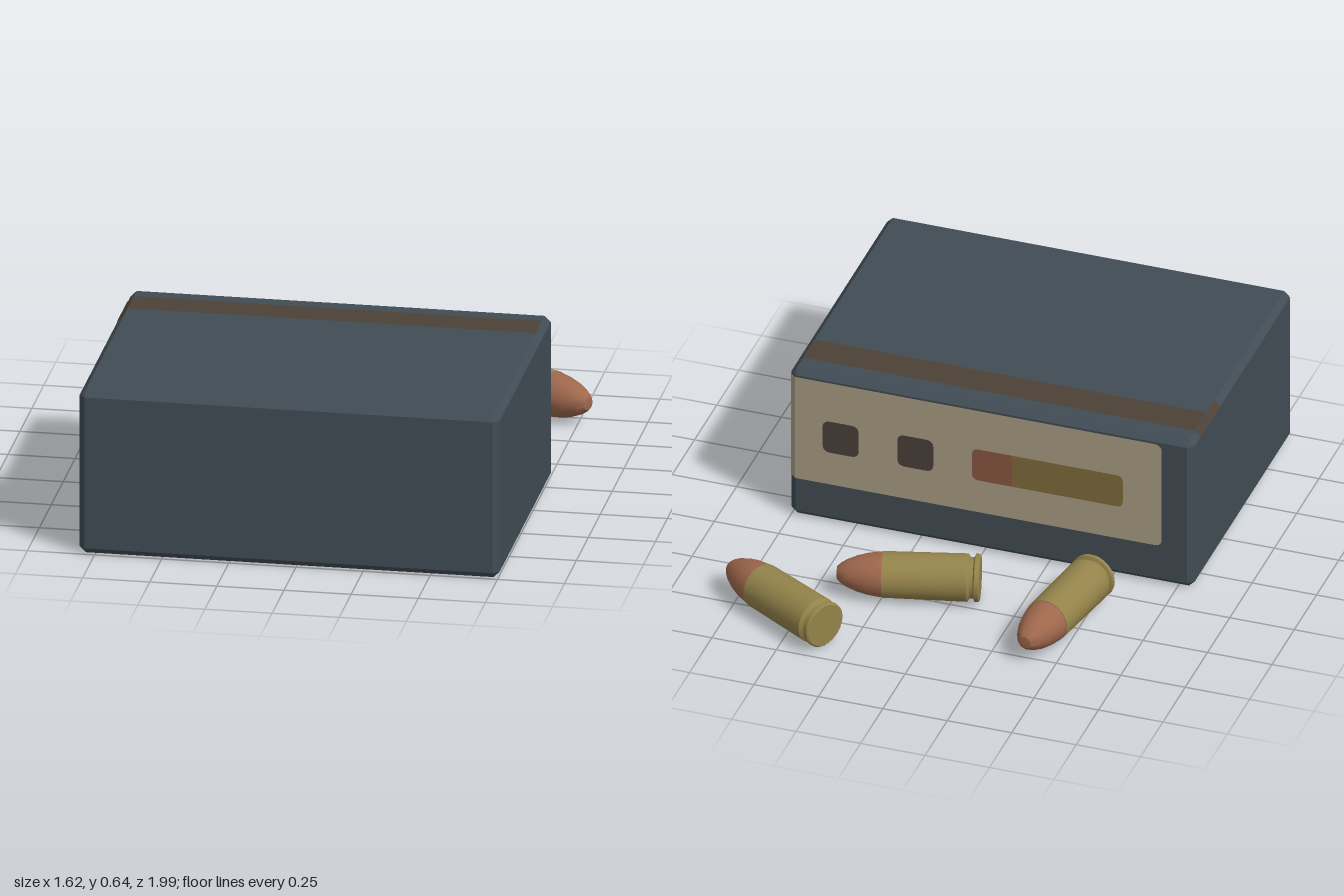
import * as THREE from 'three';
import { toCreasedNormals } from 'three/addons/utils/BufferGeometryUtils.js';
import { ConvexGeometry } from 'three/addons/geometries/ConvexGeometry.js';

const mat = (name, color) => new THREE.MeshStandardMaterial({ name, color });
const mats = {
  card: mat('slate card', 0x414c55),
  stripe: mat('brown stripe', 0x4c4136),
  label: mat('tan label', 0xa89e84),
  dark: mat('dark print', 0x4b4038),
  brassPrint: mat('olive print', 0x7f6c3a),
  copperPrint: mat('rust print', 0x8a5743),
  brass: mat('brass', 0x94834a),
  copper: mat('copper', 0x9e674c),
};

// Box extents and chamfer
const X0 = -0.81, X1 = 0.755, H = 0.635, Z0 = -0.115, Z1 = 1, C = 0.023;

function add(parent, name, geometry, material) {
  const mesh = new THREE.Mesh(geometry, material);
  mesh.name = name;
  parent.add(mesh);
  return mesh;
}

// Box with all edges bevelled: three corner points per corner
function chamferedBox() {
  const pts = [];
  for (const [x, sx] of [[X0, 1], [X1, -1]])
    for (const [y, sy] of [[0, 1], [H, -1]])
      for (const [z, sz] of [[Z0, 1], [Z1, -1]]) {
        pts.push(new THREE.Vector3(x, y + sy * C, z + sz * C));
        pts.push(new THREE.Vector3(x + sx * C, y, z + sz * C));
        pts.push(new THREE.Vector3(x + sx * C, y + sy * C, z));
      }
  return new ConvexGeometry(pts);
}

// Flat panel on the back face; xa is its +x end, rounded by ra there and rb at the other end
function backPanel(xa, xb, y0, y1, ra, rb, lift) {
  const a = -xa, b = -xb;
  const s = new THREE.Shape();
  s.moveTo(a + ra, y0);
  s.lineTo(b - rb, y0);
  if (rb) s.quadraticCurveTo(b, y0, b, y0 + rb);
  s.lineTo(b, y1 - rb);
  if (rb) s.quadraticCurveTo(b, y1, b - rb, y1);
  s.lineTo(a + ra, y1);
  if (ra) s.quadraticCurveTo(a, y1, a, y1 - ra);
  s.lineTo(a, y0 + ra);
  if (ra) s.quadraticCurveTo(a, y0, a + ra, y0);
  return new THREE.ShapeGeometry(s, 5).rotateY(Math.PI).translate(0, 0, Z0 - lift);
}

function turned(profile) {
  const pts = profile.map(([r, h]) => new THREE.Vector2(r, h));
  // the turning axis is laid along +x
  const geo = new THREE.LatheGeometry(pts, 24).rotateZ(-Math.PI / 2);
  return toCreasedNormals(geo, 0.5);
}

export function createModel() {
  const model = new THREE.Group();
  model.name = 'cartridgeBox';

  // Carton
  const carton = new THREE.Group();
  carton.name = 'carton';
  model.add(carton);
  add(carton, 'cartonBody', chamferedBox(), mats.card);

  // Stripe across the lid, folded over the bevel at one end
  const edge = C * Math.SQRT2, lift = 0.002, d = C / 2 - lift * Math.SQRT1_2;
  add(carton, 'lidStripe', new THREE.PlaneGeometry(X1 - X0 - 2 * C, 0.13)
    .rotateX(-Math.PI / 2).translate((X0 + X1) / 2, H + lift, 0.035), mats.stripe);
  add(carton, 'stripeFold', new THREE.PlaneGeometry(edge, 0.22)
    .rotateX(-Math.PI / 2).rotateZ(Math.PI / 4).translate(X0 + d, H - d, 0.08), mats.stripe);

  // Label on the back, folded over the bevel at the +x end
  add(carton, 'label', backPanel(X1 - C, -0.69, 0.165, 0.605, 0, 0.03, lift), mats.label);
  add(carton, 'labelFold', new THREE.PlaneGeometry(edge, 0.44)
    .rotateY(Math.PI * 0.75).translate(X1 - d, 0.385, Z0 + d), mats.label);

  // Printed marks
  for (const x of [0.625, 0.335])
    add(carton, 'printedSquare', backPanel(x, x - 0.14, 0.305, 0.44, 0.03, 0.03, 0.005), mats.dark);
  add(carton, 'printedTip', backPanel(0.045, -0.11, 0.305, 0.44, 0.025, 0, 0.005), mats.copperPrint);
  add(carton, 'printedCase', backPanel(-0.11, -0.54, 0.305, 0.44, 0, 0.025, 0.005), mats.brassPrint);

  // Loose cartridges
  const caseGeo = turned([[0, 0], [0.083, 0], [0.089, 0.005], [0.089, 0.019], [0.076, 0.024],
    [0.076, 0.036], [0.089, 0.047], [0.086, 0.36], [0.08, 0.36]]);
  const tipGeo = turned([[0.084, 0.355], [0.083, 0.375], [0.077, 0.415], [0.066, 0.455],
    [0.05, 0.493], [0.036, 0.515], [0.024, 0.527], [0, 0.53]]);
  const places = [[-0.482, -0.272, 80], [-0.095, -0.43, 15], [0.338, -0.92, -30]];
  for (const [x, z, deg] of places) {
    const round = new THREE.Group();
    round.name = 'cartridge';
    add(round, 'case', caseGeo, mats.brass);
    add(round, 'tip', tipGeo, mats.copper);
    round.position.set(x, 0.092, z);
    round.rotation.y = THREE.MathUtils.degToRad(deg);
    model.add(round);
  }
  return model;
}
